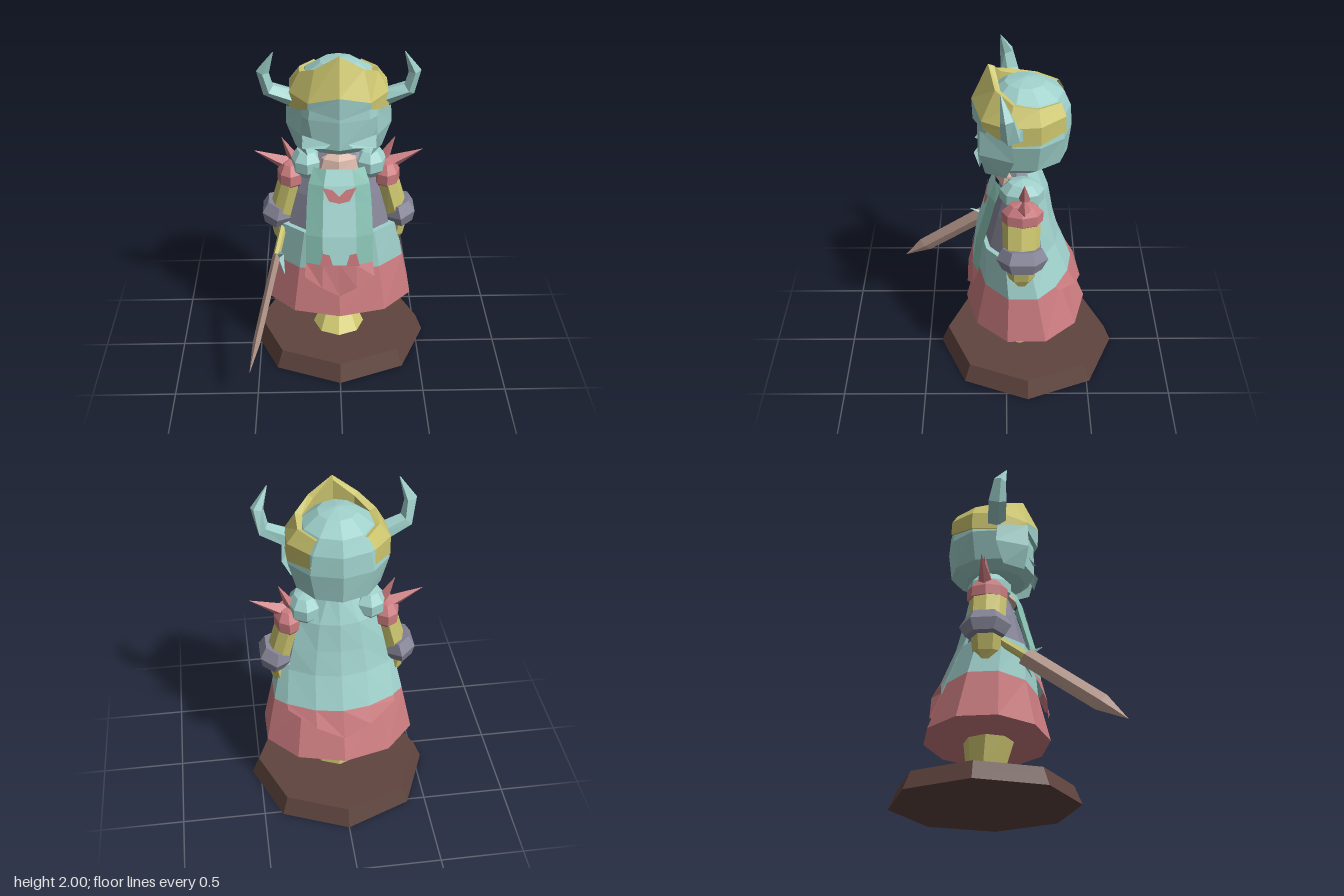
import * as THREE from 'three';

const material = (name, color) => {
  const m = new THREE.MeshStandardMaterial({ color, side: THREE.DoubleSide });
  m.name = name;
  return m;
};

export function createModel() {
  const model = new THREE.Group();
  model.name = 'hornedKnight';
  const mats = {
    teal: material('pale teal', 0x9fd0cb),
    green: material('sea green', 0x8ac4b6),
    aqua: material('light aqua', 0xa9dcd6),
    pink: material('dusty pink', 0xca7b7f),
    yellow: material('mustard yellow', 0xcbc46e),
    slate: material('slate', 0x868699),
    skin: material('skin', 0xdbb8aa),
    blade: material('blade tan', 0xb89a8d),
    brown: material('dark brown', 0x5f443e),
  };

  // Surface through rows of points; colour is a key or a rule per cell
  function surface(name, rows, color, closed = false) {
    const pick = typeof color === 'function' ? color : () => color;
    const buckets = {};
    const tri = (key, ...pts) => (buckets[key] ??= []).push(...pts.flat());
    const n = rows[0].length;
    for (let r = 0; r < rows.length - 1; r++) {
      for (let c = 0; c < (closed ? n : n - 1); c++) {
        const d = (c + 1) % n, lo = rows[r], hi = rows[r + 1], key = pick(r, c);
        tri(key, lo[c], lo[d], hi[d]);
        tri(key, lo[c], hi[d], hi[c]);
      }
    }
    if (closed) {
      [0, rows.length - 1].forEach((r, top) => {
        const row = rows[r];
        const mid = [0, 1, 2].map(k => row.reduce((sum, p) => sum + p[k], 0) / n);
        row.forEach((p, c) => {
          const q = row[(c + 1) % n], key = pick(Math.min(r, rows.length - 2), c);
          if (top) tri(key, p, q, mid); else tri(key, q, p, mid);
        });
      });
    }
    for (const key in buckets) {
      const g = new THREE.BufferGeometry();
      g.setAttribute('position', new THREE.Float32BufferAttribute(buckets[key], 3));
      g.computeVertexNormals();
      const mesh = new THREE.Mesh(g, mats[key]);
      mesh.name = name;
      model.add(mesh);
    }
  }

  // Stacked elliptical rings: [y, half width, front z, back z]
  function stack(name, sides, rings, color) {
    surface(name, rings.map(([y, rx, zf, zb]) => Array.from({ length: sides }, (_, i) => {
      const a = i / sides * Math.PI * 2;
      return [rx * Math.sin(a), y, (zf + zb) / 2 + (zf - zb) / 2 * Math.cos(a)];
    })), color, true);
  }

  // Tapered limb through stations: [x, y, z, radius along ref, radius across]
  function sweep(name, sides, stations, color, ref = [0, 0, 1]) {
    const pts = stations.map(s => new THREE.Vector3(s[0], s[1], s[2]));
    surface(name, stations.map((s, k) => {
      const t = pts[Math.min(k + 1, pts.length - 1)].clone().sub(pts[Math.max(k - 1, 0)]).normalize();
      const u = new THREE.Vector3(...ref);
      u.addScaledVector(t, -u.dot(t)).normalize();
      const v = t.clone().cross(u);
      return Array.from({ length: sides }, (_, i) => {
        const a = i / sides * Math.PI * 2;
        return pts[k].clone().addScaledVector(u, s[3] * Math.cos(a))
          .addScaledVector(v, s[4] * Math.sin(a)).toArray();
      });
    }), color, true);
  }

  function ball(name, pos, size, color) {
    const g = new THREE.SphereGeometry(1, 8, 5).toNonIndexed();
    g.scale(...size);
    g.computeVertexNormals();
    const mesh = new THREE.Mesh(g, mats[color]);
    mesh.name = name;
    mesh.position.set(...pos);
    model.add(mesh);
  }

  // Pedestal, feet and legs
  stack('pedestal', 8, [[0, 0.55, 0.42, -0.68], [0.11, 0.505, 0.375, -0.635]], 'brown');
  stack('legs', 8, [[0.11, 0.16, 0.08, -0.25], [0.19, 0.115, -0.02, -0.235], [0.42, 0.16, 0.05, -0.26]], 'yellow');

  // Skirt, coat and neck
  stack('skirt', 10, [[0.38, 0.47, 0.25, -0.49], [0.66, 0.41, 0.18, -0.375]], 'pink');
  stack('coat', 10, [[0.66, 0.41, 0.18, -0.375], [0.9, 0.355, 0.16, -0.285]], 'teal');
  stack('torso', 10, [[0.88, 0.32, 0.14, -0.26], [1.1, 0.27, 0.08, -0.22], [1.3, 0.2, 0.01, -0.18], [1.36, 0.1, 0, -0.17]], 'slate');
  stack('collar', 8, [[1.27, 0.15, 0.06, -0.21], [1.33, 0.125, 0.045, -0.2], [1.375, 0.06, -0.02, -0.15], [1.45, 0.06, -0.03, -0.15]], 'skin');

  // Tabard: light centre panel, green sides, pink point
  const tabard = [[1.29, 0.15, 0.062], [1.2, 0.18, 0.1], [1.1, 0.19, 0.125], [0.9, 0.2, 0.18], [0.72, 0.2, 0.205], [0.64, 0.21, 0.24]];
  surface('tabard', tabard.map(([y, w, z], r) => [-1, -0.5, 0, 0.5, 1].map(f => [
    f * w, r === 5 ? y - 0.12 * (1 - Math.abs(f)) : y, Math.abs(f) === 1 ? z - 0.035 : z])),
  (r, c) => r === 4 ? 'pink' : c === 0 || c === 3 ? 'green' : 'aqua');

  // Painted patches laid on the tabard
  function patch(name, outline, color) {
    const g = new THREE.ShapeGeometry(new THREE.Shape(outline.map(p => new THREE.Vector2(...p)))).toNonIndexed();
    const p = g.attributes.position;
    for (let i = 0; i < p.count; i++) {
      const y = p.getY(i);
      const k = Math.max(0, tabard.findIndex((row, j) => j < 5 && y >= tabard[j + 1][0]));
      const [y0, , z0] = tabard[k], [y1, , z1] = tabard[k + 1];
      p.setZ(i, z0 + (z1 - z0) * (y0 - y) / (y0 - y1) + 0.007);
    }
    g.computeVertexNormals();
    const mesh = new THREE.Mesh(g, mats[color]);
    mesh.name = name;
    model.add(mesh);
  }
  patch('chestPatch', [[0, 1.1], [0.06, 1.115], [0.1, 1.195], [0.04, 1.18], [0, 1.14], [-0.04, 1.18], [-0.1, 1.195], [-0.06, 1.115]], 'pink');
  for (const s of [-1, 1]) {
    patch('hemPatch', [[s * 0.04, 0.72], [s * 0.12, 0.72], [s * 0.1, 0.8], [s * 0.06, 0.79]], 'pink');
  }

  // Cape hanging to a point
  const cape = [[1.37, 0.13, -0.19, -0.12], [1.22, 0.23, -0.245, -0.16], [1.05, 0.27, -0.275, -0.19],
    [0.9, 0.3, -0.315, -0.21], [0.7, 0.32, -0.395, -0.29], [0.67, 0.32, -0.46, -0.31]];
  surface('cape', cape.map(([y, w, zc, ze], r) => [1, 0.5, 0, -0.5, -1].map(f => [
    f * w, r === 5 ? y - 0.13 * (1 - Math.abs(f)) : y, zc + (ze - zc) * f * f])),
  r => r === 4 ? 'pink' : 'teal');

  // Helmet shell
  stack('helmet', 10, [[1.41, 0.19, 0.11, -0.26], [1.46, 0.25, 0.165, -0.35], [1.63, 0.297, 0.165, -0.37],
    [1.75, 0.27, 0.155, -0.36], [1.84, 0.2, 0.09, -0.32], [1.9, 0.11, 0.01, -0.22], [1.92, 0.01, -0.09, -0.11]], 'teal');

  // Crown band, open at the back, with a front peak
  const bottomY = [1.66, 1.7, 1.64, 1.65, 1.68], midY = [1.79, 1.74, 1.75, 1.76, 1.77], topY = [2, 1.91, 1.86, 1.84, 1.835];
  const profile = [[bottomY, 0.25, 0.23, 0.22], [bottomY, 0.3, 0.29, 0.285], [midY, 0.298, 0.295, 0.28],
    [topY, 0.235, 0.2, 0.245], [topY, 0.195, 0.165, 0.2], [midY, 0.2, 0.17, 0.2]];
  surface('crown', profile.map(([ys, rx, front, back], r) => Array.from({ length: 9 }, (_, c) => {
    const i = c - 4, a = i * Math.PI / 5, k = Math.cos(a);
    return [rx * Math.sin(a), ys[Math.abs(i)] - (r === 4 ? 0.012 : 0), -0.1 + (k > 0 ? front : back) * k];
  })), (r, c) => r <= 1 && (c === 3 || c === 4) ? 'teal' : 'yellow');

  for (const s of [-1, 1]) {
    // Cheek guard, cheek ridge and horn
    surface('cheekGuard', [
      [[s * 0.21, 1.7, 0.145], [s * 0.3, 1.66, -0.03]],
      [[s * 0.215, 1.55, 0.15], [s * 0.305, 1.55, -0.04]],
      [[s * 0.18, 1.41, 0.12], [s * 0.25, 1.42, 0]]], 'teal');
    surface('cheekRidge', [
      [[s * 0.05, 1.5, 0.165], [s * 0.21, 1.54, 0.12]],
      [[s * 0.08, 1.485, 0.185], [s * 0.21, 1.47, 0.15]]], 'teal');
    sweep('horn', 5, [[s * 0.25, 1.7, -0.045, 0.06, 0.055], [s * 0.4, 1.765, -0.025, 0.058, 0.042],
      [s * 0.425, 1.88, -0.005, 0.04, 0.038], [s * 0.365, 2, 0.03, 0.003, 0.003]], 'teal');

    // Shoulder with spikes
    ball('shoulderPad', [s * 0.185, 1.275, -0.09], [0.105, 0.1, 0.135], 'teal');
    ball('upperSleeve', [s * 0.285, 1.19, -0.09], [0.085, 0.1, 0.125], 'pink');
    sweep('longSpike', 4, [[s * 0.3, 1.25, -0.1, 0.045, 0.05], [s * 0.5, 1.34, -0.1, 0.001, 0.001]], 'pink');
    sweep('shortSpike', 4, [[s * 0.26, 1.27, -0.1, 0.04, 0.04], [s * 0.335, 1.425, -0.1, 0.001, 0.001]], 'pink');

    // Sleeve, cuff and hand
    sweep('sleeve', 8, [[s * 0.29, 1.16, -0.085, 0.11, 0.07], [s * 0.345, 0.95, -0.085, 0.105, 0.075]], 'yellow');
    sweep('cuff', 6, [[s * 0.355, 1.01, -0.09, 0.115, 0.08], [s * 0.37, 0.945, -0.09, 0.15, 0.105], [s * 0.38, 0.88, -0.09, 0.115, 0.08]], 'slate');
    sweep('hand', 6, [[s * 0.365, 0.9, -0.085, 0.09, 0.055], [s * 0.35, 0.8, -0.085, 0.08, 0.05], [s * 0.345, 0.745, -0.09, 0.035, 0.03]], 'yellow');
  }

  // Sword held in the right hand
  const along = (t, thin, wide) => [-0.34 - 0.19 * t, 0.86 - 0.56 * t, 0.68 * t, thin, wide];
  sweep('swordGrip', 6, [along(-0.1, 0.022, 0.025), along(0.24, 0.022, 0.03)], 'yellow', [1, 0, 0]);
  sweep('swordBlade', 4, [along(0.2, 0.024, 0.055), along(0.8, 0.022, 0.052), along(1, 0.001, 0.001)], 'blade', [1, 0, 0]);
  sweep('swordGuard', 4, [[-0.33, 0.82, 0.23, 0.002, 0.002], [-0.365, 0.75, 0.12, 0.03, 0.03], [-0.33, 0.64, 0.17, 0.002, 0.002]], 'teal', [1, 0, 0]);

  return model;
}
